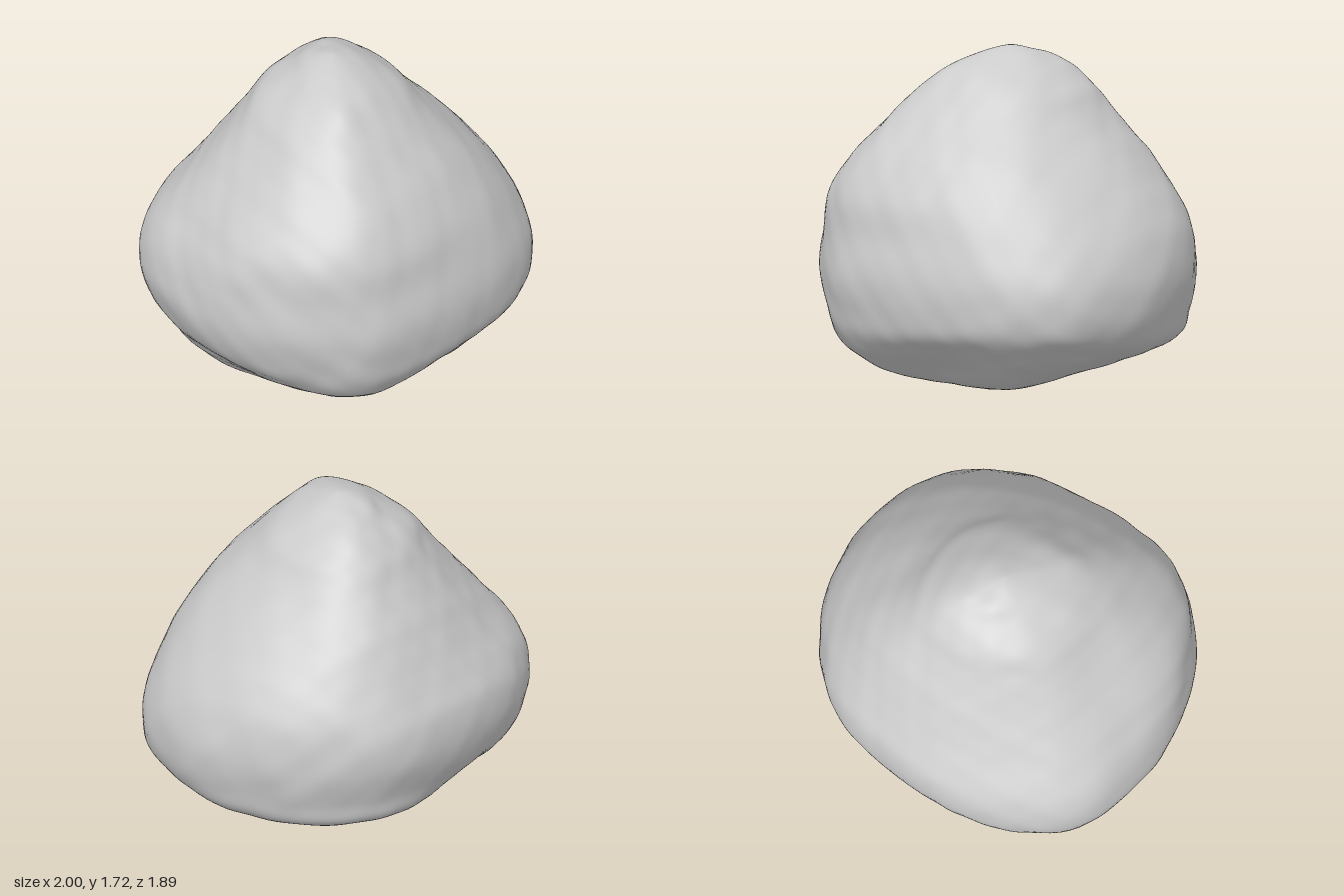
import * as THREE from 'three';
import { mergeVertices } from 'three/addons/utils/BufferGeometryUtils.js';

// Plan outline: radius every 22.5 degrees, from +x towards +z
const OUTLINE = [0.99, 0.93, 0.865, 0.87, 0.93, 0.93, 0.935, 0.95,
  1.0, 0.95, 0.9, 0.89, 0.94, 0.965, 0.97, 0.99];

// Cross-sections: [y, xMin, xMax, zMin, zMax]
const SECTIONS = [
  [0.0, 0.13, 0.13, 0.17, 0.17],
  [0.045, -0.12, 0.42, -0.02, 0.34],
  [0.09, -0.6, 0.62, -0.26, 0.62],
  [0.19, -0.78, 0.79, -0.62, 0.8],
  [0.27, -0.86, 0.89, -0.84, 0.87],
  [0.4, -0.95, 0.99, -0.89, 0.91],
  [0.6, -1.0, 1.0, -0.94, 0.94],
  [0.8, -0.95, 0.93, -0.92, 0.91],
  [1.0, -0.79, 0.8, -0.82, 0.87],
  [1.2, -0.63, 0.64, -0.7, 0.75],
  [1.4, -0.48, 0.45, -0.54, 0.57],
  [1.52, -0.39, 0.35, -0.45, 0.43],
  [1.62, -0.24, 0.22, -0.34, 0.3],
  [1.68, -0.16, 0.12, -0.23, 0.15],
  [1.71, -0.07, 0.04, -0.12, 0.03],
  [1.72, -0.01, -0.01, -0.04, -0.04],
];

// Local bulges and hollows: [azimuth in degrees, y, azimuth spread, y spread, amount]
const DENTS = [
  [45, 0.14, 26, 0.13, -0.14],
  [135, 0.14, 26, 0.13, -0.14],
  [225, 0.2, 20, 0.14, -0.18],
  [315, 0.22, 25, 0.12, 0.03],
  [135, 1.05, 28, 0.22, 0.07],
  [315, 0.95, 25, 0.2, 0.04],
];

// Smooth interpolation between the values of a list
function sample(n, t, get) {
  const i = Math.min(Math.floor(t), n - 1), f = t - i;
  const [p0, p1, p2, p3] = [get(i - 1), get(i), get(i + 1), get(i + 2)];
  const m1 = (p2 - p0) / 2, m2 = (p3 - p1) / 2;
  return p1 + f * (m1 + f * (3 * (p2 - p1) - 2 * m1 - m2 + f * (2 * (p1 - p2) + m1 + m2)));
}

const outlineAt = (deg) => sample(16, deg / 22.5, (i) => OUTLINE[(i + 16) % 16]);

function sectionAt(t) {
  const last = SECTIONS.length - 1;
  const row = (i) => SECTIONS[THREE.MathUtils.clamp(i, 0, last)];
  return [0, 1, 2, 3, 4].map((k) => sample(last, t, (i) => row(i)[k]));
}

function dentAt(deg, y) {
  return DENTS.reduce((sum, [azimuth, height, spread, ySpread, amount]) => {
    const turn = (THREE.MathUtils.euclideanModulo(deg - azimuth + 180, 360) - 180) / spread;
    const rise = (y - height) / ySpread;
    return sum + amount * Math.exp(-turn * turn - rise * rise);
  }, 1);
}

// Gentle lumps over the whole surface
function lumps(x, y, z) {
  return 0.005 * Math.sin(7 * x + 2 * z + 1) * Math.sin(7 * y - 2 * x) * Math.sin(7 * z + 2 * y)
    + 0.005 * Math.sin(13 * z - 4 * x + 2) * Math.sin(12 * y + 4 * z) * Math.sin(13 * x + 5 * y)
    + 0.004 * Math.sin(23 * x + 7 * y) * Math.sin(21 * z - 8 * x + 1) * Math.sin(22 * y + 6 * z);
}

function boulderGeometry(rows = 105, cols = 120) {
  const positions = [], index = [];
  for (let i = 0; i <= rows; i++) {
    const [y, x0, x1, z0, z1] = sectionAt((i / rows) * (SECTIONS.length - 1));
    const cx = (x0 + x1) / 2, cz = (z0 + z1) / 2;
    const sx = (x1 - x0) / 2, sz = (z1 - z0) / 1.87;
    for (let j = 0; j < cols; j++) {
      const deg = (j / cols) * 360, a = THREE.MathUtils.degToRad(deg);
      const r = outlineAt(deg) * dentAt(deg, y);
      const x = cx + r * sx * Math.cos(a), z = cz + r * sz * Math.sin(a);
      const d = 1 + lumps(x, y, z);
      positions.push(x * d, Math.max(0, 0.65 + (y - 0.65) * d), z * d);
      if (i < rows) {
        const p = i * cols + j, q = i * cols + ((j + 1) % cols);
        if (i < rows - 1) index.push(p, p + cols, q + cols);
        if (i > 0) index.push(p, q + cols, q);
      }
    }
  }
  const geometry = new THREE.BufferGeometry();
  geometry.setAttribute('position', new THREE.Float32BufferAttribute(positions, 3));
  geometry.setIndex(index);
  const merged = mergeVertices(geometry, 1e-5);
  merged.computeVertexNormals();
  return merged;
}

export function createModel() {
  const group = new THREE.Group();
  group.name = 'rock';
  const boulder = new THREE.Mesh(boulderGeometry(), new THREE.MeshStandardMaterial({ color: 0xcccccc }));
  boulder.name = 'boulder';
  group.add(boulder);
  return group;
}
